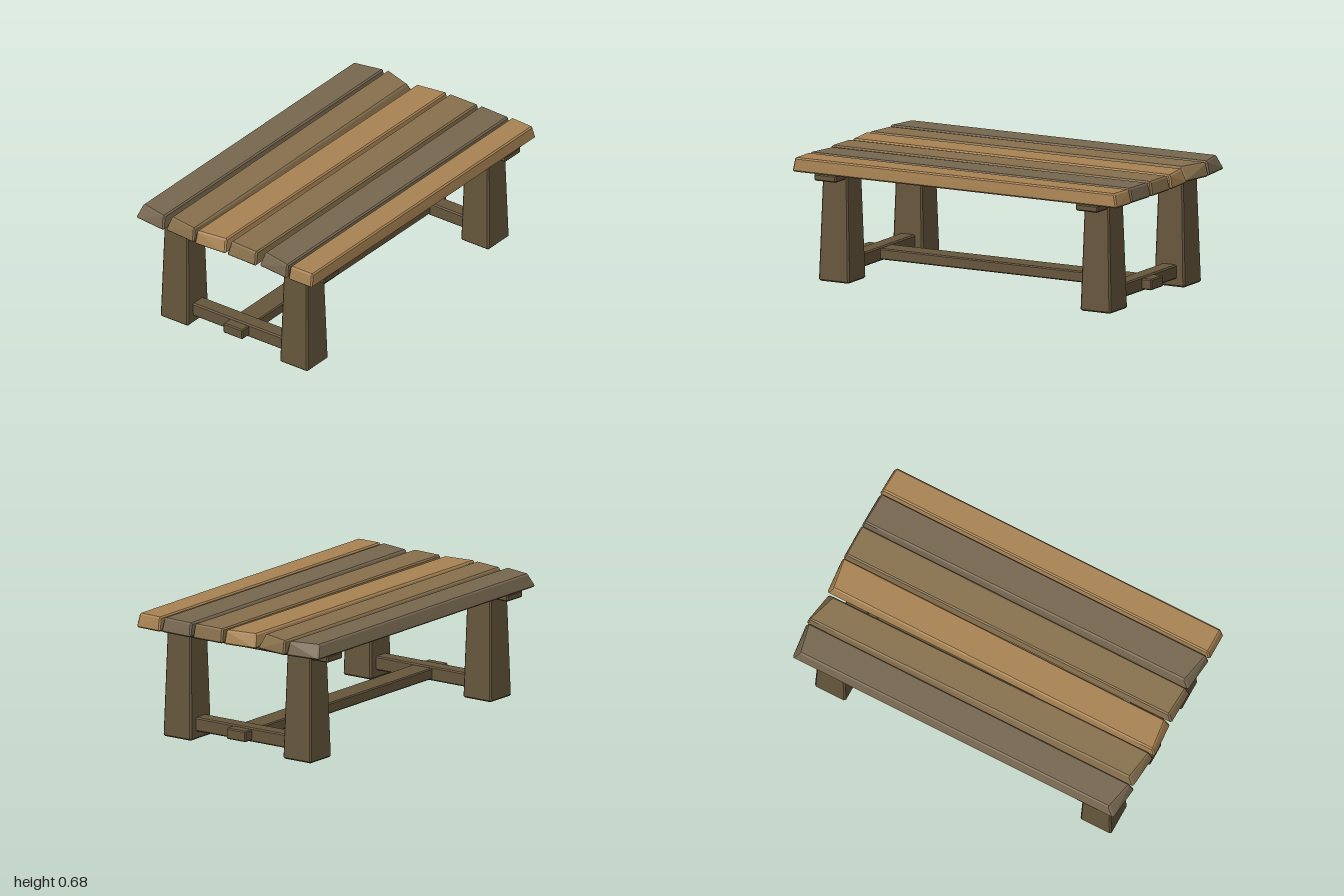
import * as THREE from 'three';
import { ConvexGeometry } from 'three/addons/geometries/ConvexGeometry.js';

const wood = (color) => new THREE.MeshStandardMaterial({ color, flatShading: true });
const dark = wood(0x66563c), grey = wood(0x776750), olive = wood(0x87704c), amber = wood(0xa88353);

// Box hewn with chamfered edges; rule(p, sx, sy, sz) may move each point of a corner
function hewnBox(min, max, bevel, rule) {
  const c = new THREE.Vector3().addVectors(min, max).multiplyScalar(0.5);
  const h = new THREE.Vector3().subVectors(max, min).multiplyScalar(0.5);
  const points = [];
  for (const sx of [-1, 1]) for (const sy of [-1, 1]) for (const sz of [-1, 1]) {
    for (const face of [0, 1, 2]) {
      const p = new THREE.Vector3(
        sx * (h.x - (face === 0 ? 0 : bevel)),
        sy * (h.y - (face === 1 ? 0 : bevel)),
        sz * (h.z - (face === 2 ? 0 : bevel)));
      if (rule) rule(p, sx, sy, sz, face, h);
      points.push(p.add(c));
    }
  }
  return new ConvexGeometry(points);
}

function addPart(group, name, geometry, material) {
  const mesh = new THREE.Mesh(geometry, material);
  mesh.name = name;
  group.add(mesh);
}

const V = (x, y, z) => new THREE.Vector3(x, y, z);

export function createModel() {
  const table = new THREE.Group();
  table.name = 'plankTable';

  // Table top planks: x range, material, end cuts [backLeft, backRight, frontLeft, frontRight]
  const planks = [
    [-0.6, -0.402, grey, [0.025, 0.005, 0.03, 0.01]],
    [-0.392, -0.196, olive, [0.0, 0.03, 0.02, 0.005]],
    [-0.186, 0.011, amber, [0.015, 0.0, 0.0, 0.012]],
    [0.024, 0.22, olive, [0.0, 0.0, 0.01, 0.005]],
    [0.234, 0.432, grey, [0.0, 0.004, 0.02, 0.0]],
    [0.44, 0.598, amber, [0.0, 0.005, 0.0, 0.0]],
  ];
  const top = new THREE.Group();
  top.name = 'tableTop';
  planks.forEach(([x0, x1, material, cuts], i) => {
    const geometry = hewnBox(V(x0, 0.604, -1), V(x1, 0.682, 1), 0.008, (p, sx, sy, sz) => {
      const cut = cuts[(sz > 0 ? 2 : 0) + (sx > 0 ? 1 : 0)];
      p.z -= sz * cut;
      // upper corners are worn back further than the lower ones
      if (sy > 0) {
        p.z -= sz * (0.012 + cut * 0.7);
        p.x -= sx * (0.004 + cut * 0.5);
      }
    });
    addPart(top, `plank${i + 1}`, geometry, material);
  });
  table.add(top);

  // Trestle at each end: two tapered legs, a top batten and a low rail
  for (const end of [1, -1]) {
    const trestle = new THREE.Group();
    trestle.name = end > 0 ? 'frontTrestle' : 'backTrestle';
    const z = 0.805 * end;
    for (const side of [1, -1]) {
      const x = 0.4 * side;
      const leg = hewnBox(V(x - 0.094, 0, z - 0.094), V(x + 0.094, 0.604, z + 0.094), 0.009,
        (p, sx, sy) => {
          if (sy > 0) { p.x *= 0.84; p.z *= 0.8; }
        });
      addPart(trestle, side > 0 ? 'leftLeg' : 'rightLeg', leg, dark);
    }
    addPart(trestle, 'topBatten',
      hewnBox(V(-0.588, 0.566, z - 0.068), V(0.588, 0.604, z + 0.068), 0.007), dark);
    addPart(trestle, 'lowRail',
      hewnBox(V(-0.34, 0.044, z - 0.045), V(0.34, 0.121, z + 0.045), 0.007), dark);
    table.add(trestle);
  }

  // Long stretcher running through both low rails
  addPart(table, 'stretcher', hewnBox(V(-0.065, 0.053, -0.907), V(0.065, 0.113, 0.907), 0.006), dark);

  return table;
}
